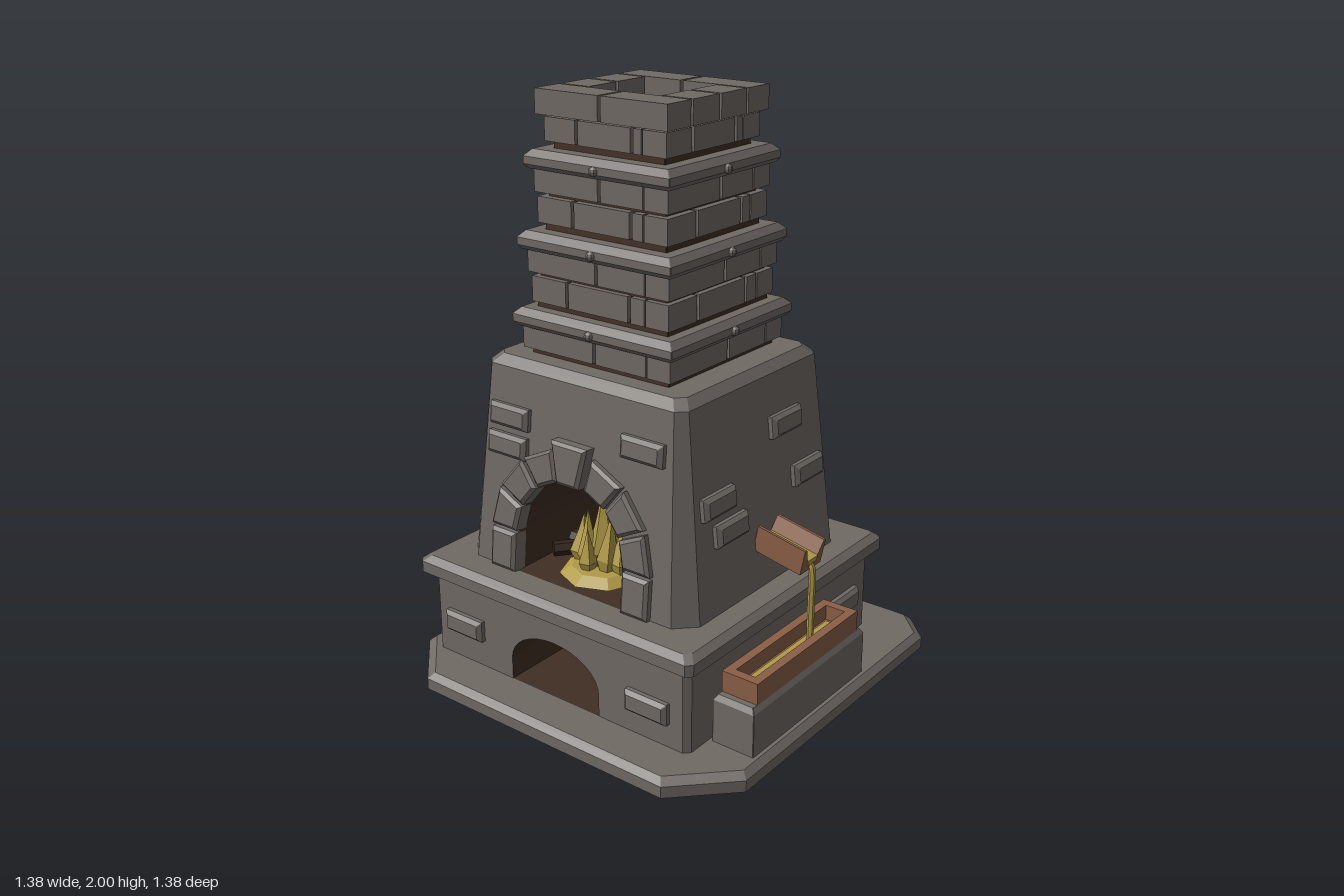
import * as THREE from 'three';

const mat = (name, color) => Object.assign(new THREE.MeshStandardMaterial({ color }), { name });

export function createModel() {
  const stone = mat('stone', 0x706a65), soot = mat('soot', 0x402e23), char = mat('char', 0x33241b);
  const wood = mat('copper wood', 0x8a5f47), gold = mat('gold', 0xb09a48);
  const root = new THREE.Group();
  const body = new THREE.Group();
  body.name = 'furnace';
  body.position.x = -0.063;
  root.add(body);

  // Adds a flat-faced mesh
  function add(parent, name, geo, material, x = 0, y = 0, z = 0) {
    const g = geo.index ? geo.toNonIndexed() : geo;
    g.computeVertexNormals();
    const m = new THREE.Mesh(g, material);
    m.name = name;
    m.position.set(x, y, z);
    parent.add(m);
    return m;
  }
  const box = (w, h, d) => new THREE.BoxGeometry(w, h, d);

  // Stacked rectangles [y, halfX, halfZ, frontChamfer, backChamfer]; may leave out the lowest front face
  function loft(rings, openFront = false) {
    const loops = rings.map(([y, hx, hz, f = 0.002, b = f]) => [
      [-hx + f, hz], [hx - f, hz], [hx, hz - f], [hx, b - hz],
      [hx - b, -hz], [b - hx, -hz], [-hx, b - hz], [-hx, hz - f]].map(([x, z]) => [x, y, z]));
    const p = [], n = 8;
    for (let r = 0; r + 1 < loops.length; r++) for (let i = 0; i < n; i++) {
      if (openFront && r === 0 && i === 0) continue;
      const a = loops[r], c = loops[r + 1], j = (i + 1) % n;
      p.push(...a[i], ...a[j], ...c[j], ...a[i], ...c[j], ...c[i]);
    }
    const lo = loops[0], hi = loops[loops.length - 1];
    for (let i = 1; i < n - 1; i++) p.push(...hi[0], ...hi[i], ...hi[i + 1], ...lo[0], ...lo[i + 1], ...lo[i]);
    return new THREE.BufferGeometry().setAttribute('position', new THREE.Float32BufferAttribute(p, 3));
  }

  // Front wall with an arched opening and its sooty chamber
  function archedFront(name, lower, upper, half, spring, rise, zBack) {
    const [y0, hx0, hz0, c0] = lower, [y1, hx1, hz1, c1] = upper;
    const zAt = y => hz0 + (hz1 - hz0) * (y - y0) / (y1 - y0);
    const arch = [[-half, y0]];
    for (let i = 0; i <= 16; i++) {
      const a = Math.PI * (1 - i / 16);
      arch.push([half * Math.cos(a), spring + rise * Math.sin(a)]);
    }
    arch.push([half, y0]);
    const shape = pts => new THREE.ShapeGeometry(new THREE.Shape(pts.map(q => new THREE.Vector2(...q))));
    const panel = shape([[c0 - hx0, y0], ...arch, [hx0 - c0, y0], [hx1 - c1, y1], [c1 - hx1, y1]]);
    const pos = panel.attributes.position;
    for (let i = 0; i < pos.count; i++) pos.setZ(i, zAt(pos.getY(i)));
    add(body, name + 'Front', panel, stone);
    const p = [];
    arch.forEach(([x, y], i) => {
      const [u, v] = arch[(i + 1) % arch.length];
      const f0 = [x, y, zAt(y)], f1 = [u, v, zAt(v)], b0 = [x, y, zBack], b1 = [u, v, zBack];
      p.push(...f0, ...b0, ...b1, ...f0, ...b1, ...f1);
    });
    const lining = new THREE.BufferGeometry().setAttribute('position', new THREE.Float32BufferAttribute(p, 3));
    add(body, name + 'ChamberWall', lining, soot);
    add(body, name + 'ChamberBack', shape(arch), soot, 0, 0, zBack);
  }

  // Base slab
  add(root, 'baseSlab', loft([[0, 0.69, 0.69, 0.185, 0.1], [0.04, 0.69, 0.69, 0.185, 0.1], [0.06, 0.668, 0.668, 0.18, 0.095]]), stone);

  // Plinth with ash pit, and its ledge
  const plinth = [[0.06, 0.55, 0.532, 0.02], [0.37, 0.55, 0.532, 0.02]];
  add(body, 'plinth', loft(plinth, true), stone);
  archedFront('plinth', plinth[0], plinth[1], 0.19, 0.14, 0.12, 0.15);
  add(body, 'ledge', loft([[0.36, 0.585, 0.57, 0.02], [0.4, 0.585, 0.57, 0.02], [0.42, 0.56, 0.545, 0.02]]), stone);

  // Tapered hood with fire opening
  const hood = [[0.42, 0.483, 0.447, 0.065], [1.11, 0.41, 0.38, 0.032], [1.14, 0.38, 0.348, 0.03]];
  add(body, 'hood', loft(hood, true), stone);
  archedFront('hood', hood[0], hood[1], 0.23, 0.56, 0.23, 0.0);

  // Stones around the fire opening, leaning with the hood
  const arch = new THREE.Group();
  arch.name = 'fireArch';
  arch.position.set(0, 0.42, 0.447);
  arch.rotation.x = -0.097;
  body.add(arch);
  function archStone(name, pts, depth) {
    const g = new THREE.ExtrudeGeometry(new THREE.Shape(pts.map(q => new THREE.Vector2(...q))), {
      depth: depth + 0.02, bevelSize: 0.012, bevelOffset: -0.012, bevelThickness: 0.01, bevelSegments: 1 });
    add(arch, name, g, stone, 0, 0, -0.03);
  }
  for (let i = 0; i < 7; i++) {
    const a = i * Math.PI / 7 + 0.02, b = (i + 1) * Math.PI / 7 - 0.02, key = i === 3;
    const R = key ? 0.372 : 0.338, r = 0.228;
    const at = (rad, t) => [rad * Math.cos(t), 0.142 + rad * Math.sin(t)];
    archStone(key ? 'keystone' : 'archStone', [at(r, a), at(R, a), at(R, b), at(r, b)], key ? 0.045 : 0.028);
  }
  for (const s of [-1, 1]) {
    const x0 = s < 0 ? -0.336 : 0.228, x1 = x0 + 0.108;
    archStone('archPost', [[x0, 0], [x1, 0], [x1, 0.138], [x0, 0.138]], 0.028);
  }

  // Raised stones on the walls: [u along the face, y], faces front, right, back, left
  function wallStones(list, lower, upper) {
    list.forEach((stones, k) => {
      const face = new THREE.Group();
      face.name = 'wallStones';
      face.rotation.y = k * Math.PI / 2;
      body.add(face);
      const i = k % 2 ? 1 : 2, slope = (lower[i] - upper[i]) / (upper[0] - lower[0]);
      for (const [u, y] of stones) {
        const g = loft([[-0.03, 0.084, 0.038], [0.015, 0.084, 0.038], [0.028, 0.07, 0.025]]).rotateX(Math.PI / 2);
        add(face, 'raisedStone', g, stone, u, y, lower[i] - slope * (y - lower[0])).rotation.x = -Math.atan(slope);
      }
    });
  }
  wallStones([[[-0.4, 0.195], [0.395, 0.18]], [[0.36, 0.21]], [[-0.2, 0.2]], [[0.02, 0.21]]], plinth[0], plinth[1]);
  wallStones([
    [[-0.28, 0.95], [-0.285, 0.85], [0.275, 0.965]],
    [[0.14, 0.935], [-0.25, 0.785], [-0.195, 0.68], [0.25, 0.735]],
    [[0.205, 0.48], [-0.22, 0.72]],
    [[-0.26, 0.85], [-0.04, 0.63], [0.24, 0.94]]], hood[0], hood[1]);

  // Chimney: dark mortar core and courses of bricks
  add(body, 'mortarCore', loft([[1.12, 0.285, 0.285], [1.915, 0.214, 0.214]]), soot);
  function course(y0, y1, h, joints) {
    const depth = 0.09, edges = [-h, ...joints, h - depth];
    for (let k = 0; k < 4; k++) {
      const side = new THREE.Group();
      side.name = 'brickCourse';
      side.rotation.y = k * Math.PI / 2;
      body.add(side);
      for (let i = 0; i + 1 < edges.length; i++) {
        const a = edges[i] + (i ? 0.006 : 0), b = edges[i + 1] - 0.006;
        add(side, 'brick', box(b - a, y1 - y0, depth), stone, (a + b) / 2, (y0 + y1) / 2, h - depth / 2);
      }
    }
  }
  course(1.315, 1.4, 0.28, [-0.13, 0.125]);
  course(1.575, 1.66, 0.262, [-0.115, 0.12]);
  course(1.835, 1.912, 0.242, [-0.11, 0.11]);
  for (const [y, h] of [[1.16, 0.328], [1.415, 0.312], [1.675, 0.292]]) {
    course(y, y + 0.09, h - 0.024, [0]);
    add(body, 'chimneyBand', loft([[y + 0.075, h - 0.012, h - 0.012], [y + 0.09, h, h],
      [y + 0.115, h, h], [y + 0.137, h - 0.022, h - 0.022]]), stone);
    for (let k = 0; k < 4; k++) {
      const a = k * Math.PI / 2;
      add(body, 'bandStud', new THREE.SphereGeometry(0.016, 8, 6), stone, h * Math.sin(a), y + 0.1, h * Math.cos(a));
    }
  }

  // Open crown of eight blocks
  for (const s of [-1, 1]) for (const t of [-1, 1]) {
    add(body, 'crownBlock', box(0.256, 0.08, 0.114), stone, s * 0.134, 1.96, t * 0.205);
    add(body, 'crownSideBlock', box(0.117, 0.08, 0.132), stone, s * 0.2035, 1.96, t * 0.072);
  }

  // Fire: embers, logs and flames
  const fire = new THREE.Group();
  fire.name = 'fire';
  fire.position.set(0, 0.422, 0.27);
  body.add(fire);
  add(fire, 'embers', new THREE.CylinderGeometry(0.11, 0.15, 0.025, 8), gold, 0, 0.0125, 0);
  for (const [x, z, turn] of [[0, -0.05, 0], [-0.12, 0.01, 0.9], [0.12, 0.01, -0.9]]) {
    const g = new THREE.CylinderGeometry(0.026, 0.026, turn ? 0.15 : 0.36, 6).rotateZ(Math.PI / 2);
    add(fire, 'log', g, char, x, 0.055, z).rotation.y = turn;
  }
  for (const [x, z, h, r, lean] of [[0, 0, 0.29, 0.055, 0], [0.035, 0.03, 0.22, 0.04, -0.1], [-0.04, 0.03, 0.2, 0.04, 0.1],
    [0.085, 0.01, 0.18, 0.045, -0.08], [-0.09, 0.01, 0.17, 0.045, 0.08], [0.02, -0.05, 0.24, 0.04, 0.06], [-0.02, 0.06, 0.15, 0.035, 0]]) {
    const prof = [[0, 0], [r * 0.6, 0], [r, h * 0.2], [r * 0.45, h * 0.6], [0, h]].map(q => new THREE.Vector2(...q));
    const flame = add(fire, 'flame', new THREE.LatheGeometry(prof, 5), gold, x, 0.02, z);
    flame.rotation.set(0, x * 20, lean);
  }

  // Casting trough on its stone block
  add(root, 'troughBlock', loft([[0.06, 0.078, 0.325], [0.21, 0.078, 0.325], [0.228, 0.066, 0.313]]), stone, 0.577, 0, 0.095);
  const rect = (w, d) => [[-w, -d], [w, -d], [w, d], [-w, d]].map(q => new THREE.Vector2(...q));
  const rim = new THREE.Shape(rect(0.067, 0.294));
  rim.holes.push(new THREE.Path(rect(0.036, 0.262)));
  add(root, 'troughRim', new THREE.ExtrudeGeometry(rim, { depth: 0.076, bevelEnabled: false }).rotateX(-Math.PI / 2), wood, 0.577, 0.225, 0.093);
  add(root, 'troughFloor', box(0.08, 0.02, 0.53), wood, 0.577, 0.238, 0.093);
  add(root, 'moltenPool', box(0.044, 0.009, 0.48), gold, 0.577, 0.2525, 0.093);

  // Sloping spout with molten stream
  const spout = new THREE.Group();
  spout.name = 'spout';
  spout.position.set(0.395, 0.555, 0);
  spout.rotation.z = -0.2;
  root.add(spout);
  const half = [[0.061, 0], [0.061, 0.09], [0.05, 0.09], [0.024, 0.03]];
  const channel = new THREE.Shape([...half, ...half.slice().reverse().map(([x, y]) => [-x, y])].map(q => new THREE.Vector2(...q)));
  add(spout, 'spoutChannel', new THREE.ExtrudeGeometry(channel, { depth: 0.185, bevelEnabled: false }).rotateY(Math.PI / 2), wood);
  add(spout, 'spoutMetal', box(0.185, 0.02, 0.054), gold, 0.095, 0.032, 0);
  const path = new THREE.CatmullRomCurve3([[0.55, 0.551], [0.575, 0.54], [0.585, 0.5], [0.585, 0.4], [0.585, 0.25]]
    .map(([x, y]) => new THREE.Vector3(x, y, 0)));
  add(root, 'moltenStream', new THREE.TubeGeometry(path, 14, 0.012, 6), gold);
  return root;
}
